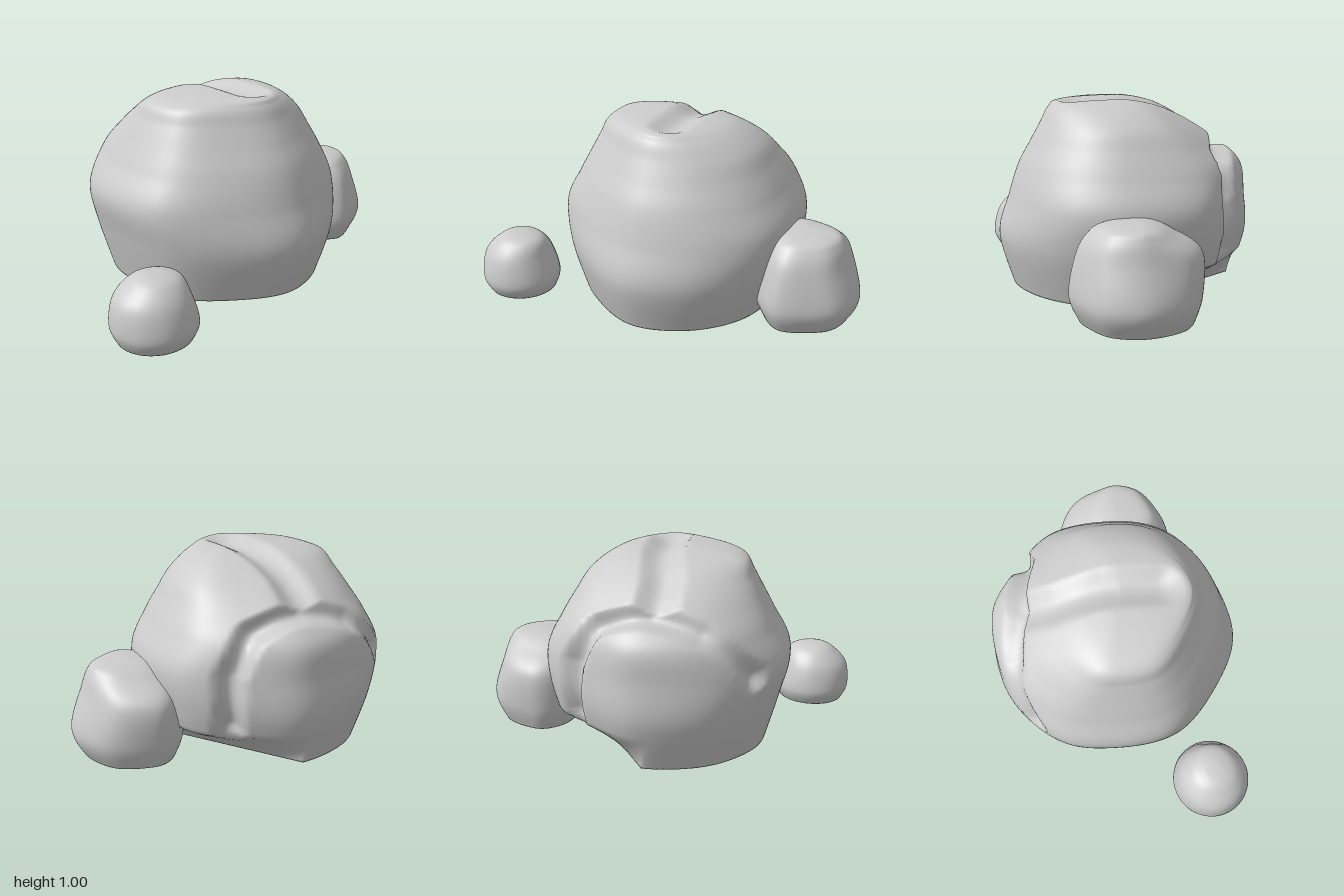
import * as THREE from 'three';

const AROUND = 144;

// Catmull-Rom value at parameter t in a list of numbers
function spline(list, t, closed) {
  const n = list.length, i = Math.floor(t), f = t - i;
  const at = k => list[closed ? (k + n) % n : Math.min(n - 1, Math.max(0, k))];
  const [a, b, c, d] = [at(i - 1), at(i), at(i + 1), at(i + 2)];
  return b + 0.5 * f * (c - a + f * (2 * a - 5 * b + 4 * c - d + f * (3 * (b - c) + d - a)));
}

// Lofts a boulder: outline = unit plan shape, rings = [y, left, right, back, front] from bottom to top
function boulder(outline, rings, rows, shape = p => p) {
  const pos = [], index = [];
  const outX = outline.map(p => p[0]), outZ = outline.map(p => p[1]);
  for (let j = 0; j <= rows; j++) {
    const t = (j / rows) * (rings.length - 1);
    const [y, left, right, back, front] = [0, 1, 2, 3, 4].map(k => spline(rings.map(r => r[k]), t, false));
    for (let i = 0; i < AROUND; i++) {
      const s = (i / AROUND) * outline.length;
      const ux = spline(outX, s, true), uz = spline(outZ, s, true);
      const p = shape(new THREE.Vector3(ux * (ux < 0 ? left : right), Math.max(0, y), uz * (uz < 0 ? back : front)));
      pos.push(p.x, p.y, p.z);
    }
  }
  for (let j = 0; j < rows; j++) {
    for (let i = 0; i < AROUND; i++) {
      const n = (i + 1) % AROUND, a = j * AROUND + i, b = j * AROUND + n;
      index.push(a, a + AROUND, b, b, a + AROUND, b + AROUND);
    }
  }
  // flat underside, shaded smoothly into the sides
  const centre = pos.length / 3;
  pos.push(0, 0, 0);
  for (let i = 0; i < AROUND; i++) index.push(centre, i, (i + 1) % AROUND);
  const geo = new THREE.BufferGeometry();
  geo.setAttribute('position', new THREE.Float32BufferAttribute(pos, 3));
  geo.setIndex(index);
  geo.computeVertexNormals();
  return geo;
}

// Grooves: paths over the surface with a width and a depth
const grooves = [
  { width: 0.12, depth: 0.05, path: [[0.02, 1, 0.2], [0, 1, -0.1], [-0.05, 0.9, -0.36], [-0.05, 0.79, -0.52]] },
  { width: 0.085, depth: 0.07, path: [[-0.04, 0.77, -0.54], [0.24, 0.7, -0.53], [0.36, 0.5, -0.54], [0.36, 0.22, -0.53]] },
  { width: 0.085, depth: 0.065, path: [[-0.04, 0.77, -0.54], [-0.28, 0.68, -0.54], [-0.53, 0.47, -0.45]] },
].map(g => ({ ...g, path: g.path.map(p => new THREE.Vector3(...p)) }));

const core = new THREE.Vector3(0, 0.4, -0.05);
const undercutNormal = new THREE.Vector3(0.807, 0, -0.59);

function carve(p) {
  const line = new THREE.Line3(), near = new THREE.Vector3();
  let cut = 0;
  for (const { width, depth, path } of grooves) {
    for (let i = 0; i + 1 < path.length; i++) {
      line.set(path[i], path[i + 1]).closestPointToPoint(p, true, near);
      const d = near.distanceTo(p) / width;
      if (d < 1) cut = Math.max(cut, depth * (1 - d * d) ** 1.5);
    }
  }
  p.addScaledVector(core.clone().sub(p).normalize(), cut);
  // undercut of the rear left foot
  const beyond = p.dot(undercutNormal) - 0.372;
  if (beyond > 0 && p.y < 0.18) p.addScaledVector(undercutNormal, -beyond * (1 - p.y / 0.18));
  return p;
}

export function createModel() {
  const group = new THREE.Group();
  const stone = new THREE.MeshStandardMaterial({ color: 0xcccccc });
  const add = (name, geo, x, z) => {
    const mesh = new THREE.Mesh(geo, stone);
    mesh.name = name;
    mesh.position.set(x, 0, z);
    group.add(mesh);
  };

  // large split boulder
  add('mainBoulder', boulder(
    [[0, -1], [0.43, -0.86], [0.87, -0.56], [1, -0.04], [0.89, 0.45], [0.52, 0.83],
      [0, 1], [-0.47, 0.83], [-0.88, 0.48], [-1, -0.06], [-0.93, -0.49], [-0.56, -0.86]],
    [[0, 0.57, 0.52, 0.635, 0.57], [0.27, 0.64, 0.6, 0.72, 0.64], [0.48, 0.68, 0.625, 0.71, 0.585],
      [0.65, 0.595, 0.545, 0.685, 0.53], [0.77, 0.53, 0.475, 0.56, 0.465], [0.87, 0.475, 0.41, 0.42, 0.41],
      [0.955, 0.42, 0.3, 0.26, 0.365], [0.993, 0.26, 0.19, 0.13, 0.3], [1.01, 0, 0, 0, 0]],
    104, carve), 0, 0);

  // medium rock leaning against the left side
  add('sideRock', boulder(
    [[-0.2, -1], [0.4, -0.86], [0.77, -0.58], [1, -0.03], [0.87, 0.5], [0.47, 0.81],
      [-0.08, 1], [-0.6, 0.78], [-1, 0.3], [-0.95, -0.5], [-0.65, -0.86]],
    [[0, 0.2, 0.25, 0.29, 0.28], [0.13, 0.24, 0.3, 0.325, 0.33], [0.33, 0.22, 0.235, 0.315, 0.295],
      [0.43, 0.2, 0.2, 0.18, 0.24], [0.475, 0.13, 0.15, 0.09, 0.17], [0.49, 0, 0, 0, 0]],
    48), 0.7, -0.04);

  // small loose rock at the front
  const round = Array.from({ length: 11 }, (_, i) => {
    const a = (i / 11) * Math.PI * 2;
    return [Math.sin(a), -Math.cos(a)];
  });
  add('smallRock', boulder(round,
    [[0, 0.182, 0.19, 0.18, 0.18], [0.08, 0.213, 0.213, 0.21, 0.213], [0.21, 0.195, 0.175, 0.185, 0.185],
      [0.29, 0.12, 0.14, 0.125, 0.125], [0.32, 0.06, 0.07, 0.06, 0.06], [0.325, 0, 0, 0, 0]],
    40), -0.785, 0.5);

  return group;
}
